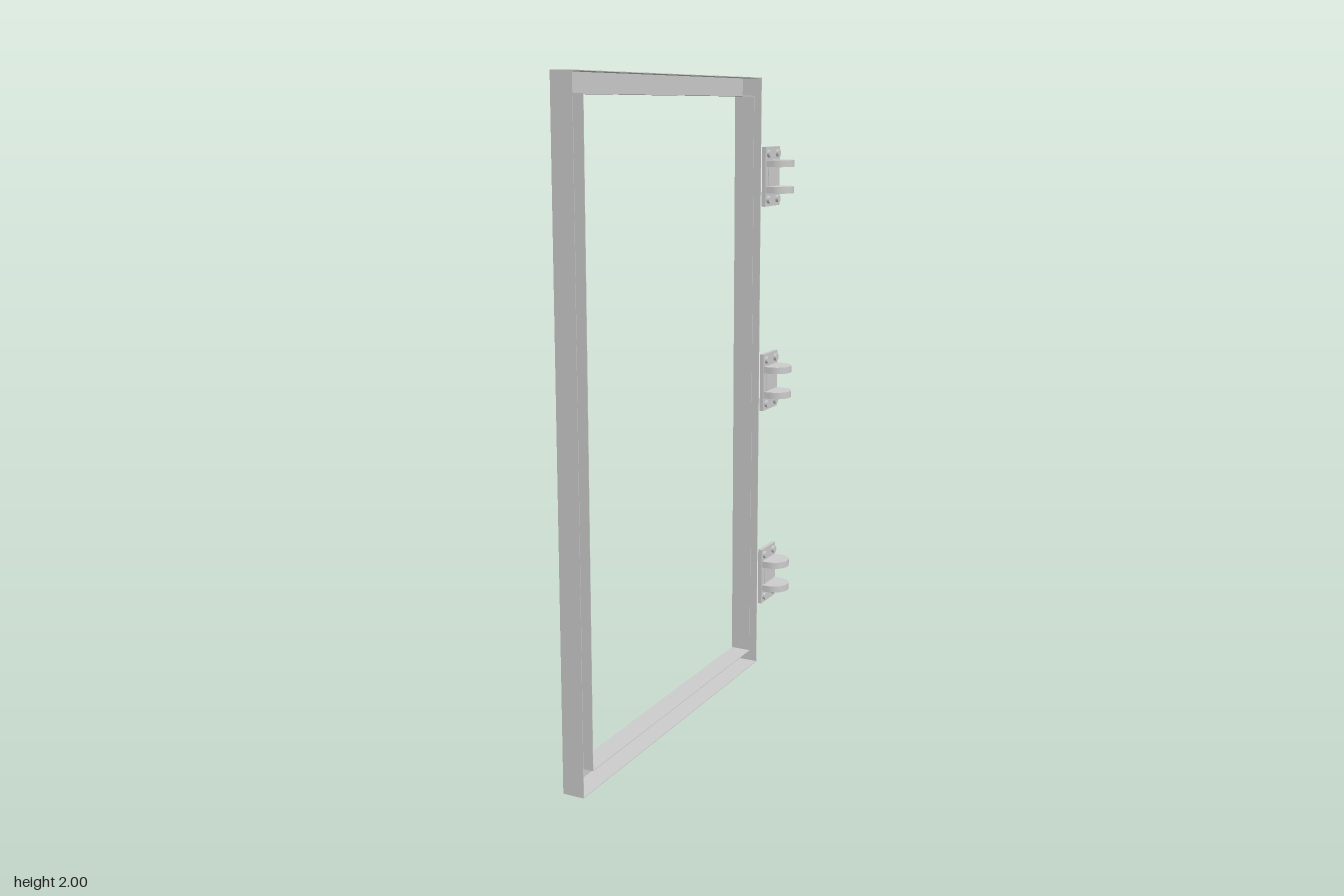
import * as THREE from 'three';

const material = new THREE.MeshStandardMaterial({ color: 0xcccccc });
const sheet = new THREE.MeshStandardMaterial({ color: 0xcccccc, side: THREE.DoubleSide });

function add(parent, name, geometry, x, y, z, mat = material) {
  const mesh = new THREE.Mesh(geometry, mat);
  mesh.name = name;
  mesh.position.set(x, y, z);
  parent.add(mesh);
  return mesh;
}

// Four thin walls around a rectangle in the z/y plane
function walls(parent, name, z0, z1, y0, y1, x0, x1) {
  const t = 0.002, depth = x1 - x0, x = (x0 + x1) / 2;
  const cz = (z0 + z1) / 2, cy = (y0 + y1) / 2;
  for (const [edge, dir] of [[z0, 1], [z1, -1]])
    add(parent, name + 'Side', new THREE.BoxGeometry(depth, y1 - y0, t), x, cy, edge + dir * t / 2);
  for (const [edge, dir] of [[y0, 1], [y1, -1]])
    add(parent, name + 'Rail', new THREE.BoxGeometry(depth, t, z1 - z0), x, edge + dir * t / 2, cz);
}

// Channel-section frame, open towards +x
function createFrame() {
  const frame = new THREE.Group();
  frame.name = 'frame';
  const x0 = -0.079, x1 = -0.012;
  walls(frame, 'outerWall', -0.524, 0.645, 0, 2, x0, x1);
  walls(frame, 'innerWall', -0.467, 0.592, 0.06, 1.942, x0, x1);

  // Web of the channel: shape x becomes -z after turning to face +x
  const rect = (path, a, b, c, d) =>
    path.moveTo(a, c).lineTo(b, c).lineTo(b, d).lineTo(a, d).closePath();
  const shape = new THREE.Shape();
  rect(shape, -0.645, 0.524, 0, 2);
  const hole = new THREE.Path();
  rect(hole, -0.592, 0.467, 0.06, 1.942);
  shape.holes.push(hole);
  const web = add(frame, 'frameWeb', new THREE.ShapeGeometry(shape), x0, 0, 0, sheet);
  web.rotation.y = Math.PI / 2;
  return frame;
}

// Rounded lug outline, extruded upwards
function lugGeometry() {
  const r = 0.052, start = 0.022, thickness = 0.022;
  const shape = new THREE.Shape();
  shape.moveTo(0, -r);
  shape.lineTo(start, -r);
  shape.absarc(start, 0, r, -Math.PI / 2, Math.PI / 2, false);
  shape.lineTo(0, r);
  shape.closePath();
  return new THREE.ExtrudeGeometry(shape, { depth: thickness, bevelEnabled: false, curveSegments: 24 })
    .translate(0, 0, -thickness / 2)
    .rotateX(-Math.PI / 2);
}

// Hinge bracket: plate, two lugs and four screw heads
function createHinge(y) {
  const hinge = new THREE.Group();
  hinge.name = 'hinge';
  hinge.position.set(0, y, -0.587);
  add(hinge, 'hingePlate', new THREE.BoxGeometry(0.013, 0.194, 0.115), -0.0045, 0, 0);
  add(hinge, 'hingePad', new THREE.BoxGeometry(0.003, 0.07, 0.072), 0.0025, 0, 0);
  const lug = lugGeometry();
  const screw = new THREE.CylinderGeometry(0.012, 0.012, 0.012, 20).rotateZ(Math.PI / 2);
  for (const sy of [-1, 1]) {
    add(hinge, 'hingeLug', lug, 0.001, sy * 0.043, 0);
    for (const sz of [-1, 1]) add(hinge, 'screwHead', screw, 0.005, sy * 0.075, sz * 0.036);
  }
  return hinge;
}

export function createModel() {
  const model = new THREE.Group();
  model.name = 'hingedFrame';
  model.add(createFrame());
  for (const y of [0.311, 0.995, 1.682]) model.add(createHinge(y));
  return model;
}
